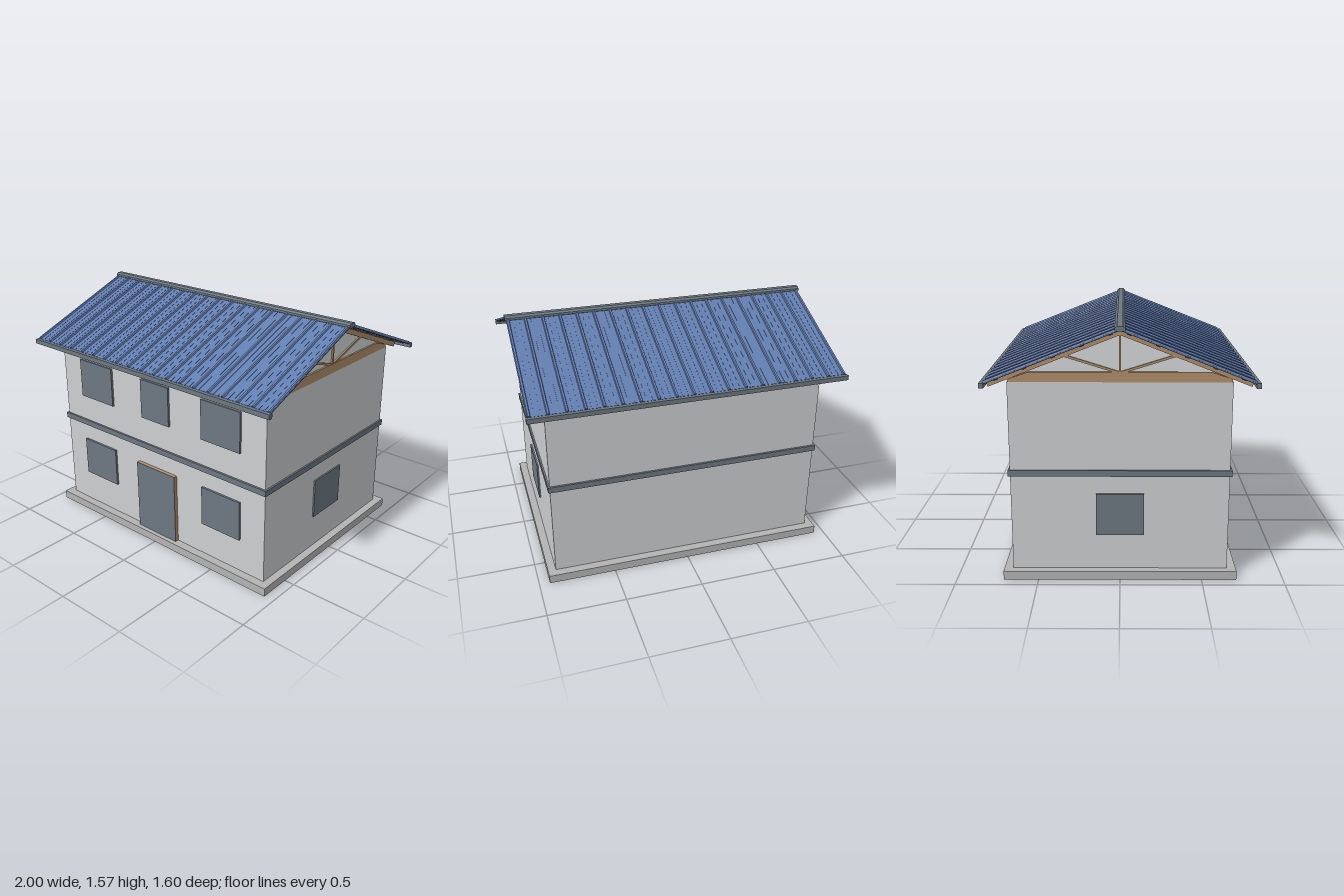
import * as THREE from 'three';

const mat = (name, color) => {
  const m = new THREE.MeshStandardMaterial({ color });
  m.name = name;
  return m;
};

export function createModel() {
  const house = new THREE.Group();
  house.name = 'house';
  const plaster = mat('plaster', 0xcdcfd0);
  const gablePale = mat('pale gable', 0xd6d8d9);
  const concrete = mat('concrete', 0xb4b4b5);
  const slate = mat('slate grey', 0x6d7881);
  const dark = mat('dark underlay', 0x454b52);
  const blue = mat('blue metal', 0x627db0);
  const wood = mat('timber', 0xb08e6b);

  const box = (parent, name, material, w, h, d, x, y, z) => {
    const m = new THREE.Mesh(new THREE.BoxGeometry(w, h, d), material);
    m.name = name;
    m.position.set(x, y, z);
    parent.add(m);
    return m;
  };

  // Prism with its outline in (z, y), extruded along x and centred at x
  const prism = (parent, name, material, points, thick, x) => {
    const shape = new THREE.Shape(points.map(([z, y]) => new THREE.Vector2(-z, y)));
    const g = new THREE.ExtrudeGeometry(shape, { depth: thick, bevelEnabled: false });
    g.translate(0, 0, -thick / 2);
    g.rotateY(Math.PI / 2);
    const m = new THREE.Mesh(g, material);
    m.name = name;
    m.position.x = x;
    parent.add(m);
    return m;
  };

  // Slab, walls and the band between storeys
  box(house, 'baseSlab', concrete, 1.866, 0.055, 1.426, 0, 0.0275, 0);
  box(house, 'walls', plaster, 1.764, 1.18, 1.316, 0, 0.64, 0);
  box(house, 'storeyBand', slate, 1.786, 0.038, 1.342, 0, 0.674, 0);

  // Windows
  for (const [x, y, w] of [[-0.548, 1.005, 0.306], [0, 1.005, 0.242], [0.545, 1.005, 0.306],
    [-0.548, 0.411, 0.306], [0.545, 0.411, 0.306]])
    box(house, 'frontWindow', slate, w, 0.264, 0.016, x, y, 0.664);
  for (const s of [-1, 1])
    box(house, 'sideWindow', slate, 0.016, 0.264, 0.29, s * 0.884, 0.411, 0);

  // Door with a timber body and a grey face
  box(house, 'doorBody', wood, 0.338, 0.482, 0.024, 0, 0.297, 0.668);
  box(house, 'doorFace', slate, 0.338, 0.482, 0.005, 0, 0.297, 0.6825);

  // Wall plates under the trusses
  for (const s of [-1, 1])
    box(house, 'wallPlate', wood, 1.764, 0.018, 0.06, 0, 1.239, s * 0.622);
  for (const s of [-1, 1])
    box(house, 'endPlate', wood, 0.02, 0.018, 1.3, s * 0.872, 1.239, 0);

  // Roof trusses
  const slope = 0.394;
  const line = (top, z) => top - slope * z;
  const strut = (parent, name, a, b, width, x) => {
    const len = Math.hypot(b[0] - a[0], b[1] - a[1]);
    const m = box(parent, name, wood, 0.016, width, len, x, (a[1] + b[1]) / 2, (a[0] + b[0]) / 2);
    m.rotation.x = -Math.atan2(b[1] - a[1], b[0] - a[0]);
  };
  for (let i = 0; i < 6; i++) {
    const x = -0.873 + i * 0.3492;
    const truss = new THREE.Group();
    truss.name = 'roofTruss';
    prism(truss, 'bottomChord', wood, [[-0.655, 1.247], [0.655, 1.247], [0.53, 1.29], [-0.53, 1.29]], 0.02, x);
    prism(truss, 'rafters', wood, [[0, 1.54], [-0.78, line(1.54, 0.78)], [-0.765, line(1.505, 0.765)],
      [0, 1.505], [0.765, line(1.505, 0.765)], [0.78, line(1.54, 0.78)]], 0.02, x);
    strut(truss, 'kingPost', [0, 1.28], [0, 1.51], 0.014, x);
    for (const s of [-1, 1])
      strut(truss, 'webBrace', [0, 1.284], [s * 0.325, 1.386], 0.014, x);
    house.add(truss);
  }

  // Gable panels set behind the end trusses
  for (const s of [-1, 1])
    prism(house, 'gablePanel', gablePale, [[0, 1.52], [-0.62, line(1.52, 0.62)], [-0.62, 1.248],
      [0.62, 1.248], [0.62, line(1.52, 0.62)]], 0.006, s * 0.868);

  // Roof slopes: each is built flat from the ridge along +z, then tilted
  const length = 0.775 * Math.hypot(1, slope);
  for (const s of [-1, 1]) {
    const turn = new THREE.Group();
    turn.name = s > 0 ? 'frontRoof' : 'backRoof';
    turn.rotation.y = s > 0 ? 0 : Math.PI;
    const pitch = new THREE.Group();
    pitch.name = 'roofSlope';
    pitch.position.y = 1.554;
    pitch.rotation.x = Math.atan(slope);
    turn.add(pitch);
    house.add(turn);
    box(pitch, 'underlay', dark, 1.98, 0.005, length, 0, -0.0045, length / 2);
    box(pitch, 'metalSheet', blue, 1.984, 0.005, length, 0, 0.0005, length / 2);
    for (let i = 0; i < 5; i++)
      box(pitch, 'purlin', dark, 1.96, 0.007, 0.025, 0, -0.0095, 0.06 + i * 0.175);
    for (let i = -9; i <= 9; i++) {
      // Raised seam with sloping sides
      const seam = new THREE.Shape([[-0.01, 0], [0.01, 0], [0.006, 0.01], [-0.006, 0.01]]
        .map(([x, y]) => new THREE.Vector2(x, y)));
      const g = new THREE.ExtrudeGeometry(seam, { depth: length, bevelEnabled: false });
      const m = new THREE.Mesh(g, blue);
      m.name = 'raisedSeam';
      m.position.set(i * 0.109, 0.002, 0);
      pitch.add(m);
      if (i < 9)
        for (const k of [1, 2])
          box(pitch, 'smallRib', blue, 0.008, 0.002, length, (i + k / 3) * 0.109, 0.0035, length / 2);
    }
    // Gutter along the eave
    box(turn, 'gutter', slate, 2, 0.03, 0.027, 0, 1.235, 0.786);
  }

  // Ridge cap
  prism(house, 'ridgeCap', slate, [[-0.032, 1.55], [-0.022, 1.543], [0.022, 1.543], [0.032, 1.55],
    [0.03, 1.562], [0.016, 1.573], [-0.016, 1.573], [-0.03, 1.562]], 2, 0);

  return house;
}
